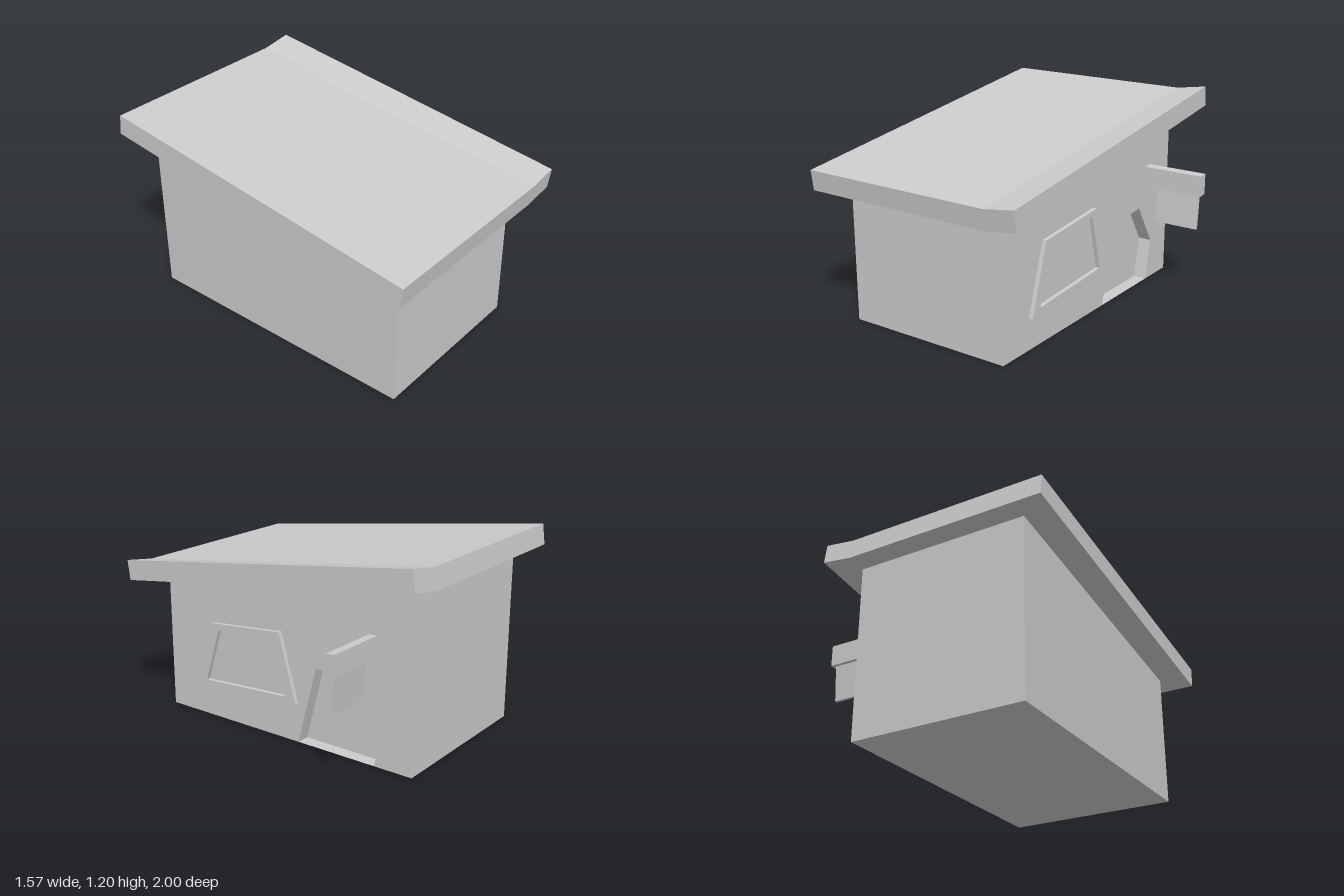
import * as THREE from 'three';

const grey = new THREE.MeshStandardMaterial({ color: 0xcccccc, flatShading: true });
const greyThin = new THREE.MeshStandardMaterial({ color: 0xcccccc, flatShading: true, side: THREE.DoubleSide });

// Extrudes a side profile of [z, y] points from x0 to x1, with an optional hole
function sidePart(name, points, x0, x1, hole) {
  const toVectors = (pts) => pts.map(([z, y]) => new THREE.Vector2(-z, y));
  const shape = new THREE.Shape(toVectors(points));
  if (hole) shape.holes.push(new THREE.Path(toVectors(hole)));
  const geometry = new THREE.ExtrudeGeometry(shape, { depth: x1 - x0, bevelEnabled: false });
  geometry.rotateY(Math.PI / 2).translate(x0, 0, 0);
  const mesh = new THREE.Mesh(geometry, grey);
  mesh.name = name;
  return mesh;
}

export function createModel() {
  const model = new THREE.Group();
  model.name = 'hut';

  const left = -0.625, right = 0.41, recess = 0.33;
  const front = 0.85, back = -0.885;
  const frontTop = 0.81, backTop = 1.046; // tucked just inside the roof slab

  // Main block behind the doorway
  model.add(sidePart('body', [[front, 0], [back, 0], [back, backTop], [front, frontTop]], left, recess));

  // Outer layer of the entrance wall, notched by the crooked doorway
  const doorway = [[-0.125, 0], [-0.25, 0.47], [-0.54, 0.495], [-0.695, 0.245], [-0.645, 0]];
  model.add(sidePart('entranceWall',
    [[front, 0], ...doorway, [back, 0], [back, backTop], [front, frontTop]], recess, right));

  // Thin doorstep closing the bottom of the doorway
  const step = new THREE.Mesh(new THREE.PlaneGeometry(right - recess, 0.52), greyThin);
  step.name = 'doorstep';
  step.rotation.x = -Math.PI / 2;
  step.position.set((right + recess) / 2, 0, -0.385);
  model.add(step);

  // Crooked window frame standing out from the wall
  model.add(sidePart('windowFrame',
    [[0.62, 0.187], [-0.125, 0.233], [-0.01, 0.641], [0.495, 0.594]], right, 0.435,
    [[0.55, 0.23], [-0.05, 0.267], [0.035, 0.6], [0.445, 0.56]]));

  // Sign beam and the tilted board hanging from it
  model.add(sidePart('signBeam',
    [[-0.6, 0.62], [-0.655, 0.625], [-0.655, 0.75], [-0.6, 0.745]], right - 0.01, 0.785));
  model.add(sidePart('signBoard',
    [[-0.605, 0.41], [-0.621, 0.411], [-0.637, 0.63], [-0.62, 0.63]], 0.49, 0.765));

  // Sloping roof slab with one upturned edge
  const h = 0.0605, lift = 0.03;
  const section = new THREE.Shape([
    [-0.785, -h], [right, -h], [0.6, lift - h], [0.6, lift + h], [right, h], [-0.785, h],
  ].map(([x, y]) => new THREE.Vector2(x, y)));
  const roofGeometry = new THREE.ExtrudeGeometry(section, { depth: 2, bevelEnabled: false });
  roofGeometry.translate(0, 0, -1).rotateX(0.1354);
  const roof = new THREE.Mesh(roofGeometry, grey);
  roof.name = 'roof';
  roof.position.y = 0.975;
  model.add(roof);

  return model;
}
